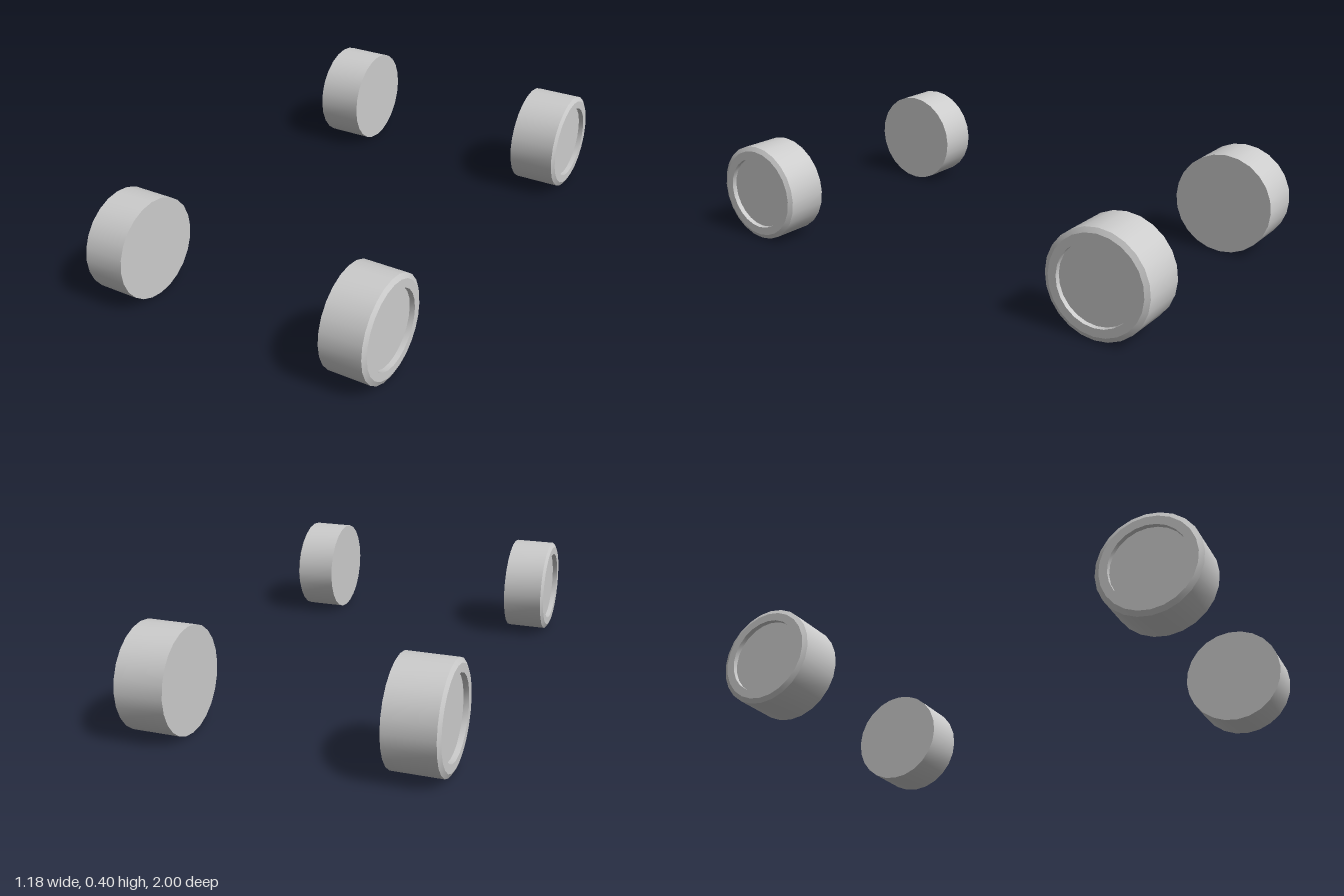
import * as THREE from 'three';
import { toCreasedNormals } from 'three/addons/utils/BufferGeometryUtils.js';

const SIDES = 24;
const OUTER = 0.588; // x of the outer faces

// Solid wheel turned around its axle: flat inner cap, tread, chamfered shoulder, recessed hub
function wheelGeometry(radius, inner, hubRadius) {
  const profile = [
    [0, inner],
    [radius, inner],
    [radius, OUTER - 0.01],
    [radius - 0.018, OUTER],
    [hubRadius, OUTER],
    [hubRadius, OUTER - 0.02],
    [0, OUTER - 0.02],
  ].map(([r, h]) => new THREE.Vector2(r, h));
  return toCreasedNormals(new THREE.LatheGeometry(profile, SIDES), 0.4);
}

export function createModel() {
  const group = new THREE.Group();
  group.name = 'wheelSet';
  const material = new THREE.MeshStandardMaterial({ color: 0xcccccc });

  const axles = [
    { name: 'front', radius: 0.196, inner: 0.415, hub: 0.146, z: 0.804 },
    { name: 'rear', radius: 0.2015, inner: 0.39, hub: 0.152, z: -0.7985 },
  ];
  for (const { name, radius, inner, hub, z } of axles) {
    const geometry = wheelGeometry(radius, inner, hub);
    for (const side of [1, -1]) {
      const wheel = new THREE.Mesh(geometry, material);
      wheel.name = name + (side > 0 ? 'LeftWheel' : 'RightWheel');
      wheel.rotation.z = -side * Math.PI / 2; // hub faces outward
      wheel.position.set(0, radius, z);
      group.add(wheel);
    }
  }
  return group;
}
